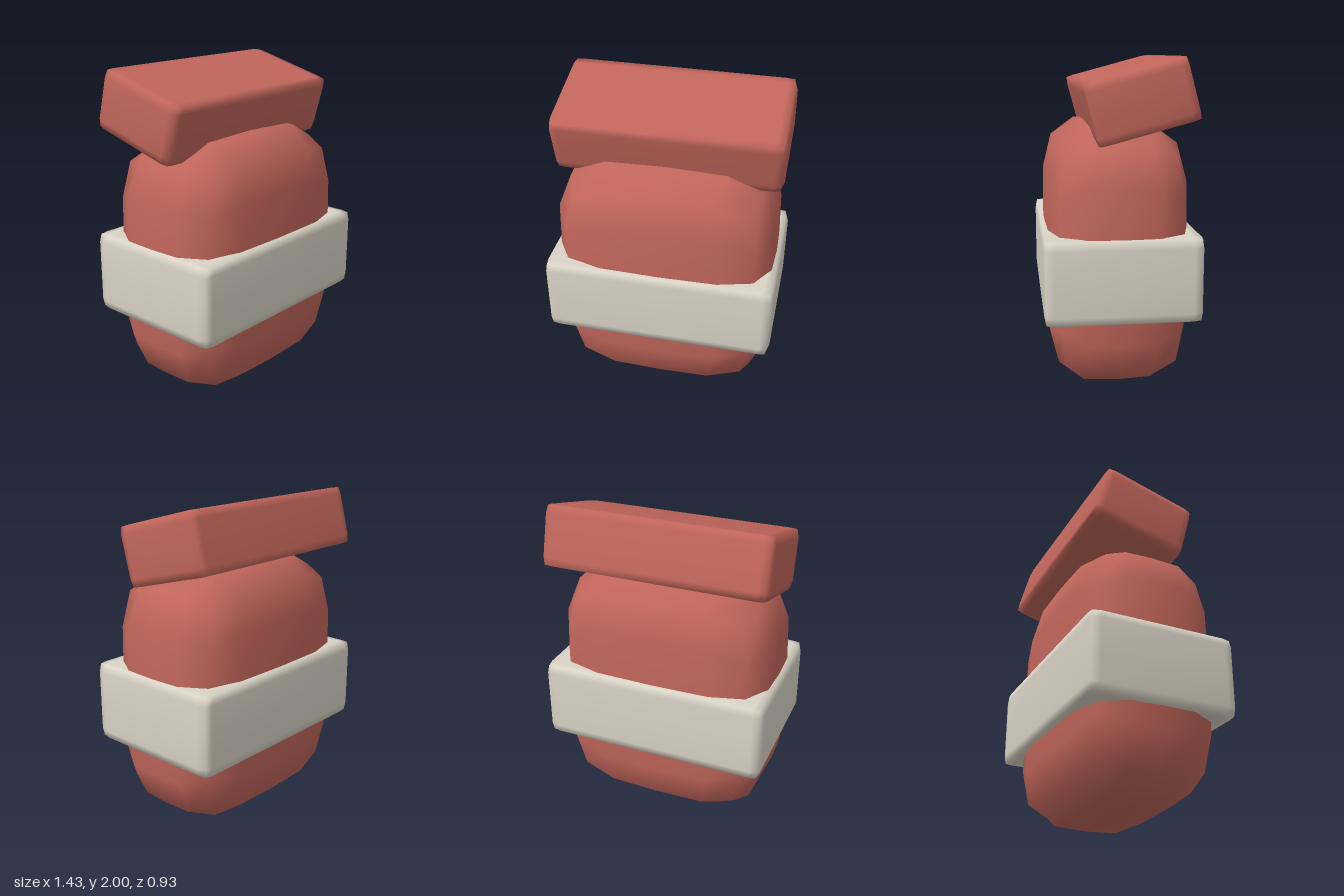
import * as THREE from 'three';
import { mergeVertices } from 'three/addons/utils/BufferGeometryUtils.js';

// Box with softened edges: each grid point is pulled onto a superellipsoid.
// half = half sizes, power = squareness, ring = position of the inner grid lines (0..1)
function softBox(half, power, ring) {
  const box = new THREE.BoxGeometry(2, 2, 2, 4, 4, 4);
  box.deleteAttribute('uv');
  box.deleteAttribute('normal');
  const geo = mergeVertices(box);
  const pos = geo.attributes.position;
  for (let i = 0; i < pos.count; i++) {
    const p = [pos.getX(i), pos.getY(i), pos.getZ(i)].map((v, k) =>
      Math.abs(Math.abs(v) - 0.5) < 0.01 ? Math.sign(v) * ring[k] : v);
    const norm = p.reduce((s, v) => s + Math.abs(v) ** power, 0) ** (1 / power);
    pos.setXYZ(i, ...p.map((v, k) => (v / norm) * half[k]));
  }
  geo.computeVertexNormals();
  return geo;
}

export function createModel() {
  const group = new THREE.Group();
  const red = new THREE.MeshStandardMaterial({ color: 0xc1665b });
  red.name = 'brick red';
  const cream = new THREE.MeshStandardMaterial({ color: 0xd8d3c5 });
  cream.name = 'cream';

  const add = (name, geometry, material, y, z = 0) => {
    const mesh = new THREE.Mesh(geometry, material);
    mesh.name = name;
    mesh.position.set(0, y, z);
    group.add(mesh);
    return mesh;
  };

  // Rounded jar-like body
  add('body', softBox([0.69, 0.81, 0.433], 4.2, [0.55, 0.59, 0.5]), red, 0.815);

  // Label band around the waist
  add('band', softBox([0.716, 0.25, 0.463], 33, [0.92, 0.78, 0.87]), cream, 0.74);

  // Lid block, tipped down towards the front
  const lid = add('lid', softBox([0.696, 0.182, 0.302], 33, [0.92, 0.72, 0.83]), red, 1.76, -0.1);
  lid.rotation.x = THREE.MathUtils.degToRad(15);

  return group;
}
